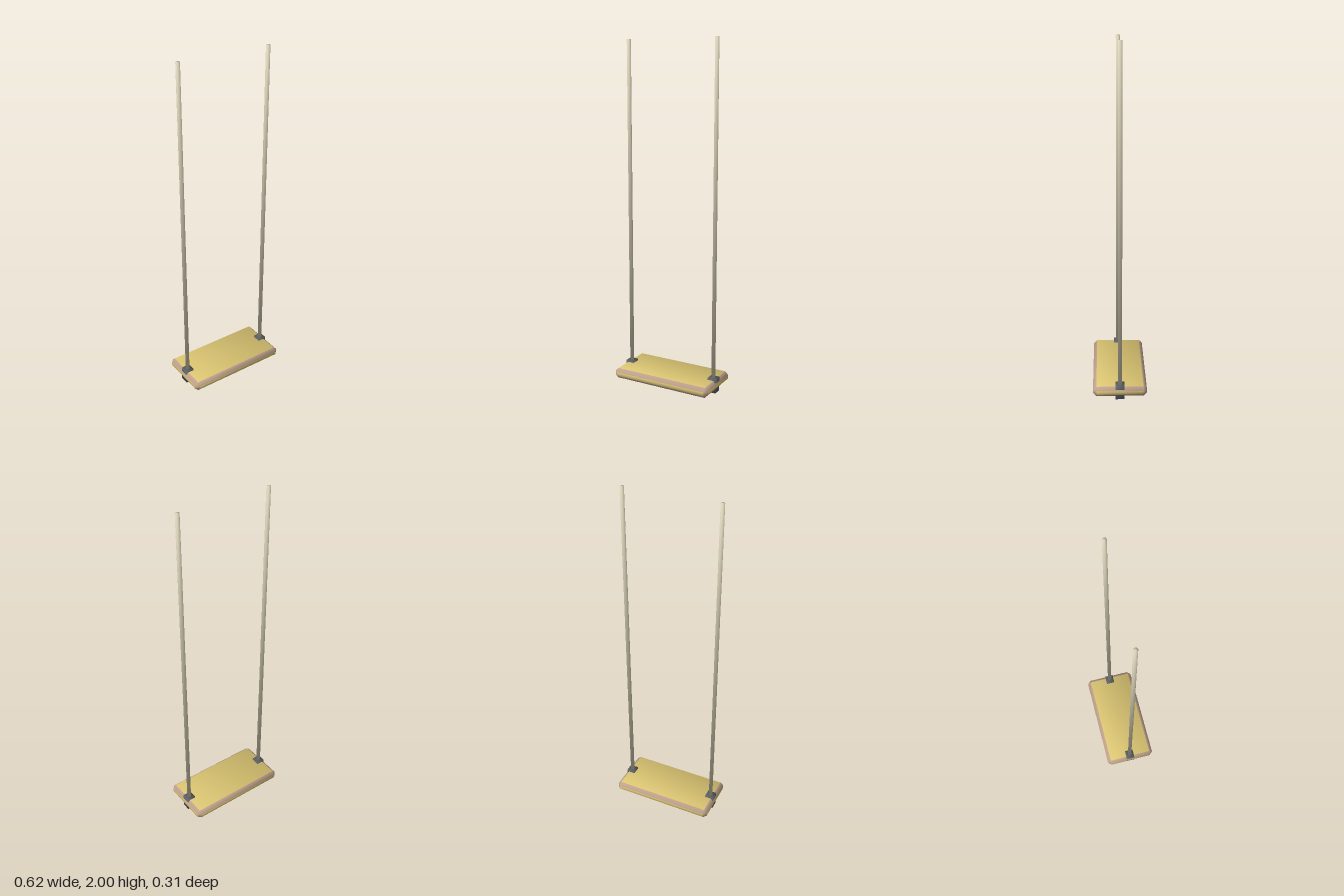
import * as THREE from 'three';

const mat = (name, color) => {
  const m = new THREE.MeshStandardMaterial({ color });
  m.name = name;
  return m;
};

// Chamfered board with soft normals: group 0 = flat faces, group 1 = chamfers
function chamferedBoard(hx, hy, hz, c) {
  const half = [hx, hy, hz];
  const pos = [], nor = [];
  // corner point lying on the flat face of the given axis
  const corner = (axis, s) => ({
    p: s.map((v, i) => v * (half[i] - (i === axis ? 0 : c))),
    n: new THREE.Vector3(...s.map((v, i) => v * (i === axis ? 1 : 0.39))).normalize(),
  });
  const tri = (a, b, d) => {
    const [A, B, D] = [a, b, d].map(k => new THREE.Vector3(...k.p));
    const n = B.clone().sub(A).cross(D.clone().sub(A));
    const outward = n.dot(A.add(B).add(D)) > 0;
    for (const k of outward ? [a, b, d] : [a, d, b]) {
      pos.push(...k.p);
      nor.push(k.n.x, k.n.y, k.n.z);
    }
  };
  const quad = (a, b, d, e) => { tri(a, b, d); tri(a, d, e); };
  const sign = (i, a, j, b, k, d) => {
    const s = [0, 0, 0];
    s[i] = a; s[j] = b; s[k] = d;
    return s;
  };
  // six flat faces
  for (let i = 0; i < 3; i++) for (const a of [-1, 1]) {
    const j = (i + 1) % 3, k = (i + 2) % 3;
    quad(...[[-1, -1], [1, -1], [1, 1], [-1, 1]].map(([b, d]) => corner(i, sign(i, a, j, b, k, d))));
  }
  const split = pos.length / 3;
  // twelve edge chamfers
  for (let i = 0; i < 3; i++) for (const a of [-1, 1]) for (const b of [-1, 1]) {
    const j = (i + 1) % 3, k = (i + 2) % 3;
    const s0 = sign(i, a, j, b, k, -1), s1 = sign(i, a, j, b, k, 1);
    quad(corner(i, s0), corner(i, s1), corner(j, s1), corner(j, s0));
  }
  // eight corner triangles
  for (const x of [-1, 1]) for (const y of [-1, 1]) for (const z of [-1, 1])
    tri(...[0, 1, 2].map(axis => corner(axis, [x, y, z])));
  const g = new THREE.BufferGeometry();
  g.setAttribute('position', new THREE.Float32BufferAttribute(pos, 3));
  g.setAttribute('normal', new THREE.Float32BufferAttribute(nor, 3));
  g.addGroup(0, split, 0);
  g.addGroup(split, pos.length / 3 - split, 1);
  return g;
}

// Soften a centred geometry: every normal follows a rule of its vertex position
function soften(geometry, rule) {
  const p = geometry.attributes.position, n = geometry.attributes.normal;
  const v = new THREE.Vector3();
  for (let i = 0; i < p.count; i++) {
    rule(v.fromBufferAttribute(p, i)).normalize();
    n.setXYZ(i, v.x, v.y, v.z);
  }
  return geometry;
}

export function createModel() {
  const wood = mat('yellow wood', 0xdcc673);
  const edge = mat('worn wood edge', 0xc2a48e);
  const metal = mat('dark metal', 0x62676c);
  const cord = mat('pale rope', 0xd9d2b8);

  const model = new THREE.Group();
  model.name = 'swing';
  const add = (name, geometry, material, x, y) => {
    const mesh = new THREE.Mesh(geometry, material);
    mesh.name = name;
    mesh.position.set(x, y, 0);
    model.add(mesh);
  };

  // Seat board
  add('seat', chamferedBoard(0.31, 0.03, 0.155, 0.02), [wood, edge], 0, 0.044);

  // Clamp and rope at each end
  const clampGeo = soften(new THREE.BoxGeometry(0.052, 0.084, 0.052),
    v => v.set(Math.sign(v.x), Math.sign(v.y), Math.sign(v.z)));
  const bottom = 0.06, length = 2 - bottom, r = 0.012;
  const ropeGeo = soften(new THREE.CylinderGeometry(r, r, length, 8),
    v => v.set(v.x / r, Math.sign(v.y) * 0.8, v.z / r));
  for (const [side, s] of [['left', 1], ['right', -1]]) {
    add(side + 'Clamp', clampGeo, metal, s * 0.278, 0.042);
    add(side + 'Rope', ropeGeo, cord, s * 0.278, bottom + length / 2);
  }
  return model;
}
